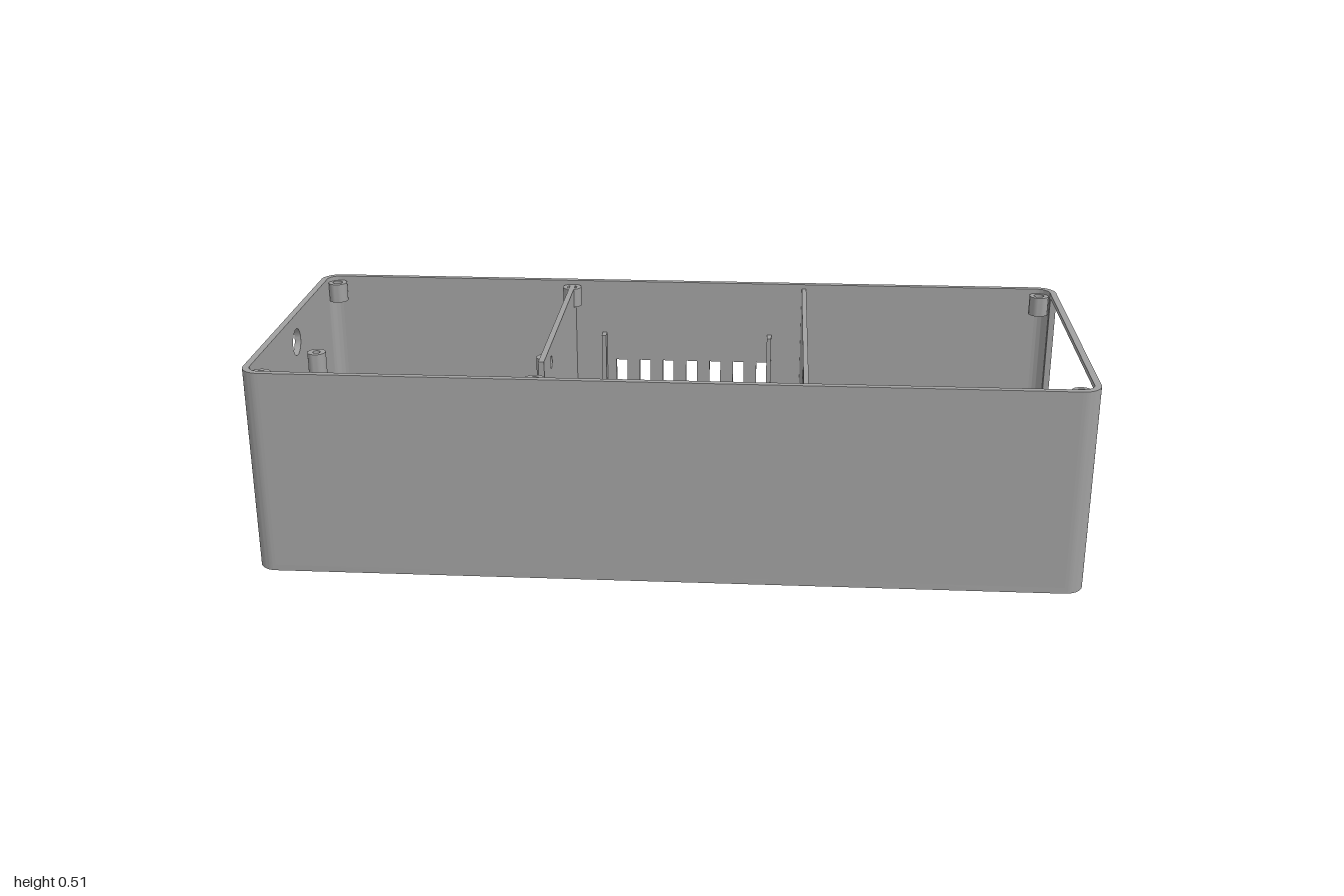
import * as THREE from 'three';
import { toCreasedNormals } from 'three/addons/utils/BufferGeometryUtils.js';

const X = 1, Z = 0.402, H = 0.512;        // half length, half depth, height
const R = 0.048, T = 0.016, FLOOR = 0.015; // corner radius, wall and floor thickness
const TOP = 0.5;                           // top of the dividers and bosses

export function createModel() {
  const group = new THREE.Group();
  const grey = new THREE.MeshStandardMaterial({ color: 0xa0a0a0 });
  grey.name = 'grey plastic';

  const add = (name, geometry, x = 0, y = 0, z = 0) => {
    const mesh = new THREE.Mesh(toCreasedNormals(geometry, 0.6), grey);
    mesh.name = name;
    mesh.position.set(x, y, z);
    group.add(mesh);
    return mesh;
  };
  const poly = (pts) => new THREE.Shape(pts.map(([a, b]) => new THREE.Vector2(a, b)));
  const rect = (a0, b0, a1, b1) => poly([[a0, b0], [a1, b0], [a1, b1], [a0, b1]]);
  const circle = (a, b, r) => new THREE.Path().absarc(a, b, r, 0, Math.PI * 2, true);
  const extrude = (shape, depth, holes = []) => {
    shape.holes.push(...holes);
    return new THREE.ExtrudeGeometry(shape, { depth, bevelEnabled: false, curveSegments: 16 });
  };
  // Plate drawn in (z, y), filling x - t .. x
  const crossPlate = (name, x, t, shape, holes) =>
    add(name, extrude(shape, t, holes).rotateY(-Math.PI / 2), x);
  // Plate drawn in (x, z), filling y - t .. y
  const flatPlate = (name, y, t, shape, holes) =>
    add(name, extrude(shape, t, holes).rotateX(Math.PI / 2), 0, y);
  const box = (name, x0, x1, y0, y1, z0, z1) =>
    add(name, new THREE.BoxGeometry(x1 - x0, y1 - y0, z1 - z0),
      (x0 + x1) / 2, (y0 + y1) / 2, (z0 + z1) / 2);

  // Floor in two layers: the lower one has round foot recesses
  const outline = () => new THREE.Shape()
    .absarc(X - R, Z - R, R, 0, Math.PI / 2)
    .absarc(-X + R, Z - R, R, Math.PI / 2, Math.PI)
    .absarc(-X + R, -Z + R, R, Math.PI, Math.PI * 1.5)
    .absarc(X - R, -Z + R, R, Math.PI * 1.5, Math.PI * 2);
  const drain = () => circle(0.655, 0.255, 0.016);
  const feet = [];
  for (const sx of [-1, 1]) for (const sz of [-1, 1]) feet.push(circle(sx * 0.91, sz * 0.325, 0.042));
  flatPlate('floor', FLOOR, FLOOR - 0.004, outline(), [drain()]);
  flatPlate('footRecessLayer', 0.004, 0.004, outline(), [drain(), ...feet]);

  // Rounded upright corners
  for (let i = 0; i < 4; i++) {
    const a = i * Math.PI / 2;
    const cx = (i === 0 || i === 3 ? 1 : -1) * (X - R);
    const cz = (i < 2 ? 1 : -1) * (Z - R);
    const shape = new THREE.Shape()
      .absarc(cx, cz, R, a, a + Math.PI / 2, false)
      .absarc(cx, cz, R - T, a + Math.PI / 2, a, true);
    flatPlate('corner', H, H - FLOOR, shape);
  }

  // Long walls, the back one with ventilation slots
  const vents = [];
  for (let i = 0; i < 7; i++) {
    const x = -0.175 + i * 0.065;
    vents.push(rect(x - 0.015, 0.083, x + 0.015, 0.285));
  }
  const longWall = () => rect(-X + R, FLOOR, X - R, H);
  add('frontWall', extrude(longWall(), T), 0, 0, Z - T);
  add('backWall', extrude(longWall(), T, vents), 0, 0, -Z);

  // End walls: a cable hole on one side, an open frame on the other
  const endWall = () => rect(-Z + R, FLOOR, Z - R, H);
  crossPlate('cableHoleWall', -X + T, T, endWall(), [circle(-0.03, 0.44, 0.035)]);
  crossPlate('openEndFrame', X, T, endWall(), [rect(-0.34, 0.052, 0.34, TOP)]);

  // Dividers
  const zi = Z - T;
  crossPlate('notchedDivider', -0.3, 0.014,
    poly([[-zi, FLOOR], [zi, FLOOR], [zi, 0.46], [0.246, 0.46], [0.246, TOP], [-zi, TOP]]),
    [circle(0.122, 0.455, 0.016)]);
  crossPlate('divider', 0.332, 0.012, rect(-zi, FLOOR, zi, TOP), [circle(0.211, 0.409, 0.069)]);

  // Hollow posts and screw bosses
  const post = (name, x, z, y0, y1, r, hole, depth) => {
    const h = y1 - y0;
    const profile = [[0, 0], [r, 0], [r, h], [hole, h], [hole, h - depth], [0, h - depth]];
    add(name, new THREE.LatheGeometry(profile.map(([a, b]) => new THREE.Vector2(a, b)), 28), x, y0, z);
  };
  for (const x of [-0.958, -0.307, 0.957])
    for (const z of [-0.365, 0.362]) post('lidBoss', x, z, 0.449, TOP, 0.025, 0.013, 0.045);
  for (const x of [-0.955, -0.347])
    for (const z of [-0.098, 0.35]) post('tallPost', x, z, FLOOR, 0.39, 0.024, 0.01, 0.06);
  for (const x of [-0.185, 0.203])
    for (const z of [-0.312, 0.078]) post('shortStandoff', x, z, FLOOR, 0.06, 0.025, 0.013, 0.035);

  // Fan guide ribs beside the vents
  for (const x of [-0.221, 0.234]) box('fanGuideRib', x - 0.006, x + 0.006, FLOOR, 0.365, -zi, -0.355);

  // Rails on the floor of the open bay
  for (const z of [-0.277, 0.27]) box('floorRail', 0.4, 0.915, FLOOR, 0.059, z - 0.01, z + 0.01);

  return group;
}
